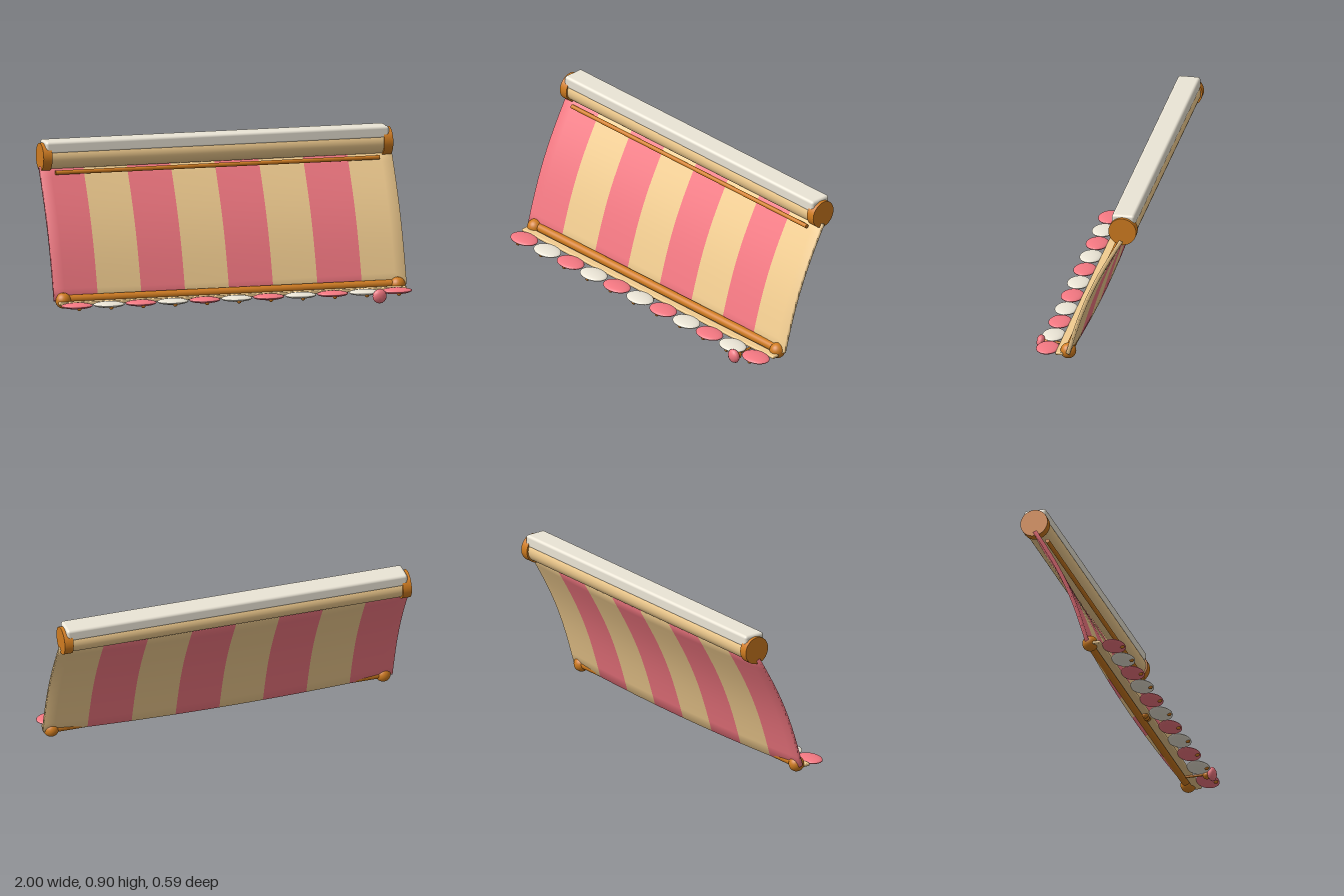
import * as THREE from 'three';
import { RoundedBoxGeometry } from 'three/addons/geometries/RoundedBoxGeometry.js';

const mat = (color) => new THREE.MeshStandardMaterial({ color });
const pink = mat(0xf47882), tan = mat(0xf2cd90), wood = mat(0xd07c20), cream = mat(0xebe5d6);

// Bowed, sagging cloth slab with shared vertices and one material group per stripe
function canopyGeometry() {
  const cols = 32, rows = 12, stripes = 8, half = 0.011;
  const n = new THREE.Vector2(0.918, 0.396); // (z, y) direction of the outer face
  const pos = [], index = [];
  for (const side of [1, -1]) {
    for (let j = 0; j <= rows; j++) {
      for (let i = 0; i <= cols; i++) {
        const x = -1 + (2 * i) / cols, t = j / rows;
        const off = side * half + 0.03 * Math.sin(Math.PI * t) - 0.028 * (1 - x * x);
        pos.push(x, 0.76 - 0.692 * t + n.y * off, -0.208 + 0.295 * t + n.x * off);
      }
    }
  }
  const F = (i, j) => j * (cols + 1) + i;
  const B = (i, j) => (rows + 1) * (cols + 1) + F(i, j);
  const quad = (a, b, c, d) => index.push(a, b, c, a, c, d);
  const geo = new THREE.BufferGeometry();
  const perStripe = cols / stripes;
  for (let s = 0; s < stripes; s++) {
    const start = index.length;
    for (let i = s * perStripe; i < (s + 1) * perStripe; i++) {
      for (let j = 0; j < rows; j++) {
        quad(F(i, j), F(i, j + 1), F(i + 1, j + 1), F(i + 1, j));
        quad(B(i, j), B(i + 1, j), B(i + 1, j + 1), B(i, j + 1));
        if (i === 0) quad(F(0, j), B(0, j), B(0, j + 1), F(0, j + 1));
        if (i === cols - 1) quad(F(cols, j), F(cols, j + 1), B(cols, j + 1), B(cols, j));
      }
      quad(F(i, rows), B(i, rows), B(i + 1, rows), F(i + 1, rows));
      quad(F(i, 0), F(i + 1, 0), B(i + 1, 0), B(i, 0));
    }
    geo.addGroup(start, index.length - start, s % 2);
  }
  geo.setAttribute('position', new THREE.Float32BufferAttribute(pos, 3));
  geo.setIndex(index);
  geo.computeVertexNormals();
  return geo;
}

export function createModel() {
  const model = new THREE.Group();
  model.name = 'awning';

  const add = (name, geo, material, x, y, z) => {
    const mesh = new THREE.Mesh(geo, material);
    mesh.name = name;
    mesh.position.set(x, y, z);
    model.add(mesh);
    return mesh;
  };
  const bar = (name, r, length, material, x, y, z, sides = 24) =>
    add(name, new THREE.CylinderGeometry(r, r, length, sides).rotateZ(Math.PI / 2), material, x, y, z);
  const ball = (name, r, material, x, y, z) =>
    add(name, new THREE.SphereGeometry(r, 24, 16), material, x, y, z);

  // Roller with end caps and cover
  bar('roller', 0.068, 1.92, tan, 0, 0.815, -0.215, 40);
  for (const s of [-1, 1]) bar('rollerCap', 0.077, 0.05, wood, s * 0.968, 0.815, -0.215, 40);
  add('rollerCover', new RoundedBoxGeometry(1.95, 0.07, 0.126, 3, 0.016), cream, 0, 0.87, -0.215);
  bar('upperRod', 0.012, 1.84, wood, 0, 0.733, -0.16, 16);

  // Striped cloth
  add('canopy', canopyGeometry(), [pink, tan], 0, 0, 0);

  // Front rod with ball ends, and hem strip
  bar('frontRod', 0.024, 1.9, wood, 0, 0.073, 0.088);
  for (const s of [-1, 1]) ball('rodEnd', 0.043, wood, s * 0.95, 0.068, 0.092);
  add('hemStrip', new RoundedBoxGeometry(1.97, 0.017, 0.045, 3, 0.006), tan, 0, 0.058, 0.137);

  // Flattened scallops with small beads under their tips
  for (let i = 0; i < 11; i++) {
    const x = (i - 5) * 0.1815;
    ball('scallop', 1, i % 2 ? cream : pink, x, 0.056, 0.215).scale.set(0.087, 0.016, 0.063);
    ball('scallopBead', 0.012, wood, x, 0.047, 0.262);
  }

  // Bead cluster under the middle of the hem
  for (const dx of [-0.024, 0, 0.024]) ball('centreBead', 0.017, wood, dx, dx ? 0.046 : 0.042, 0.133);

  // Pull cord with bead and faceted knob
  const cord = bar('pullCord', 0.007, 0.13, wood, 0.795, 0.042, 0.185, 10);
  cord.rotation.y = Math.PI / 2;
  ball('pullBead', 0.022, wood, 0.795, 0.036, 0.243);
  const knob = new THREE.SphereGeometry(0.04, 16, 6).rotateX(Math.PI / 2).scale(1, 1, 0.6);
  add('pullKnob', knob, pink, 0.795, 0.04, 0.273);

  return model;
}
